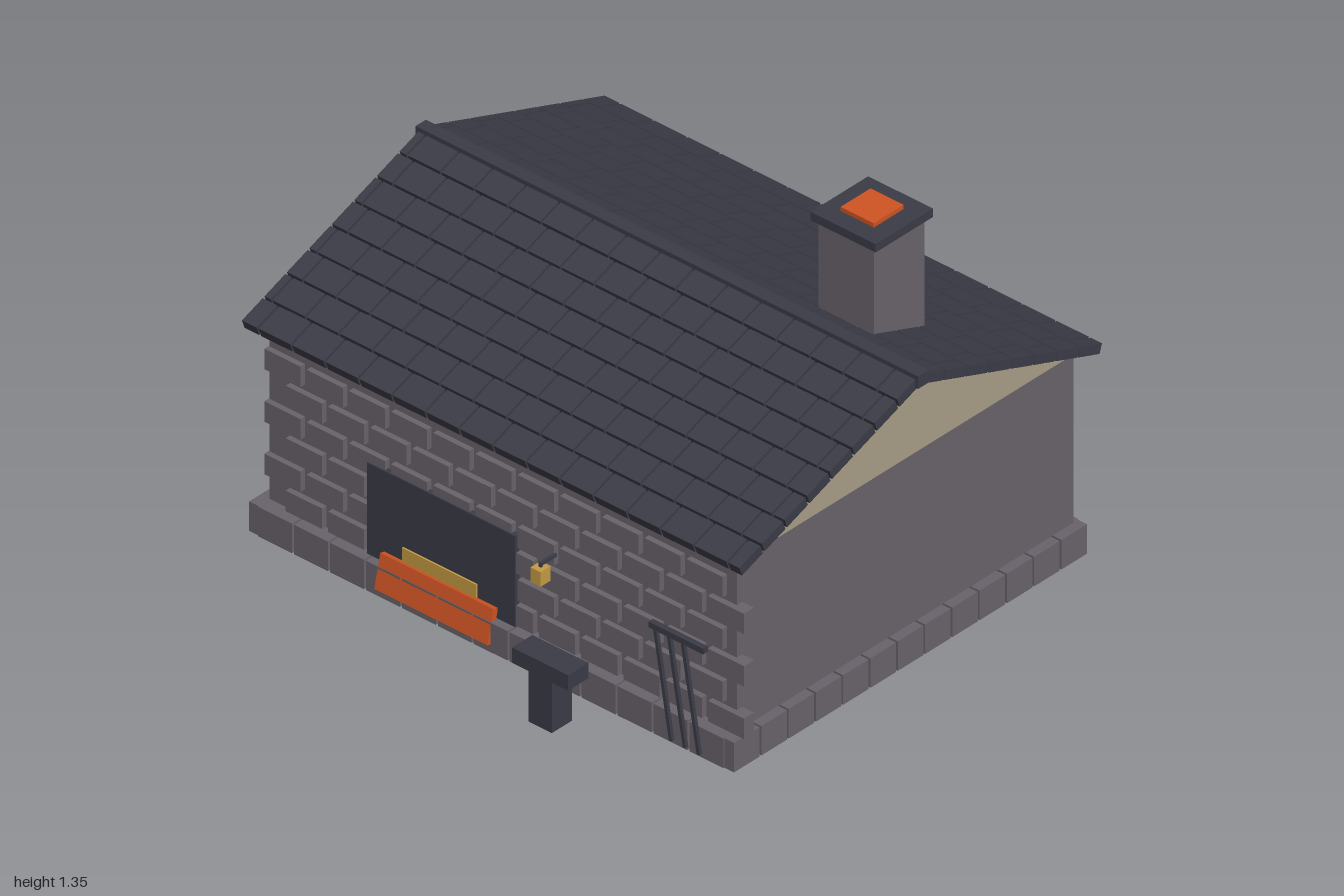
import * as THREE from 'three';

const mat = (name, color) => {
  const m = new THREE.MeshStandardMaterial({ color });
  m.name = name;
  return m;
};

export function createModel() {
  const stone = mat('stone', 0x69636b);
  const slate = mat('slate', 0x3b3b47);
  const plaster = mat('plaster', 0xa89d86);
  const ember = mat('ember', 0xcf5423);
  const brass = mat('brass', 0xc69c44);

  const model = new THREE.Group();
  model.name = 'smithy';
  const group = (name) => {
    const g = new THREE.Group();
    g.name = name;
    model.add(g);
    return g;
  };
  // Box from its limits on each axis
  const box = (parent, name, material, [x0, x1], [y0, y1], [z0, z1]) => {
    const mesh = new THREE.Mesh(new THREE.BoxGeometry(x1 - x0, y1 - y0, z1 - z0), material);
    mesh.position.set((x0 + x1) / 2, (y0 + y1) / 2, (z0 + z1) / 2);
    mesh.name = name;
    parent.add(mesh);
    return mesh;
  };

  // Main walls
  box(model, 'walls', stone, [-0.93, 0.93], [0.11, 0.71], [-0.84, 0.655]);

  // Ring of foundation stones, open underneath
  const foundation = group('foundation');
  const count = 13, gap = 0.004;
  for (let i = 0; i < count; i++) {
    const xa = -0.93 + (1.86 * i) / count, xb = xa + 1.86 / count;
    const za = -0.865 + (1.575 * i) / count, zb = za + 1.575 / count;
    for (const [z0, z1] of [[0.655, 0.71], [-0.865, -0.81]])
      box(foundation, 'foundationStone', stone, [xa + gap, xb - gap], [0.005, 0.11], [z0, z1]);
    for (const [x0, x1] of [[0.91, 0.965], [-0.965, -0.91]])
      box(foundation, 'foundationStone', stone, [x0, x1], [0.005, 0.11], [za + gap, zb - gap]);
  }

  // Raised bricks on the front wall, every other row shifted
  const bricks = group('frontBricks');
  for (let row = 0; row < 6; row++) {
    const y = 0.113 + row * 0.0935;
    for (let i = 0; i < 11; i++) {
      const x = (row % 2 ? -0.86 : -0.775) + i * 0.168;
      box(bricks, 'brick', stone, [x - 0.072, x + 0.072], [y, y + 0.073], [0.63, 0.675]);
    }
  }

  // Stepped gables
  const ridgeZ = -0.095;
  const gables = group('gables');
  for (const side of [-1, 1]) {
    for (let i = 0; i < 6; i++) {
      const half = 0.75 - i * 0.136;
      const y0 = i ? 0.688 + i * 0.05 : 0.71;
      const x = side * 0.91;
      box(gables, 'gableCourse', plaster, [x - 0.02, x + 0.02],
        [y0, 0.738 + i * 0.05 + (i === 5 ? 0.01 : 0)], [ridgeZ - half, ridgeZ + half]);
    }
  }

  // Shingled roof slopes with staggered seams
  const roof = group('roof');
  const slope = 0.3625, angle = Math.atan(slope);
  const rowLength = 0.1 / Math.cos(angle) - 0.008;
  for (const side of [-1, 1]) {
    for (let row = 0; row < 8; row++) {
      const run = 0.053 + row * 0.1;
      const shift = row % 2 ? 0.066 : 0.033;
      for (let i = -1; i < 16; i++) {
        const x0 = Math.max(-0.99, -0.99 + shift + i * 0.1335);
        const x1 = Math.min(0.99, -0.99 + shift + (i + 1) * 0.1335 - 0.008);
        if (x1 - x0 < 0.012) continue;
        const shingle = new THREE.Mesh(new THREE.BoxGeometry(x1 - x0, 0.034, rowLength), slate);
        shingle.name = 'shingle';
        shingle.position.set((x0 + x1) / 2, 1.02 - slope * run, ridgeZ + side * run);
        shingle.rotation.x = side * angle;
        roof.add(shingle);
      }
    }
  }
  box(roof, 'ridgeCap', slate, [-1, 1], [1.0, 1.045], [-0.118, -0.072]);

  // Chimney
  const chimney = group('chimney');
  box(chimney, 'chimneyStack', stone, [0.485, 0.705], [0.885, 1.31], [-0.43, -0.205]);
  box(chimney, 'chimneyCap', slate, [0.467, 0.725], [1.305, 1.335], [-0.445, -0.19]);
  box(chimney, 'chimneyGlow', ember, [0.53, 0.662], [1.335, 1.35], [-0.385, -0.252]);

  // Forge opening with leaning ember bed and flame
  const forge = group('forge');
  box(forge, 'forgeOpening', slate, [-0.52, 0.07], [0.11, 0.435], [0.66, 0.68]);
  const bed = box(forge, 'emberBed', ember, [-0.45, 0], [0.033, 0.152], [0.69, 0.712]);
  bed.rotation.x = -0.22;
  box(forge, 'flame', brass, [-0.375, -0.08], [0.13, 0.198], [0.66, 0.686]);

  // Hanging lantern
  const lantern = group('lantern');
  box(lantern, 'lanternArm', slate, [0.217, 0.228], [0.428, 0.438], [0.67, 0.74]);
  box(lantern, 'lanternHook', slate, [0.218, 0.227], [0.415, 0.43], [0.731, 0.74]);
  box(lantern, 'lanternBody', brass, [0.202, 0.242], [0.37, 0.422], [0.715, 0.758]);

  // Anvil
  const anvil = group('anvil');
  box(anvil, 'anvilTop', slate, [0.26, 0.483], [0.18, 0.235], [0.815, 0.905]);
  box(anvil, 'anvilStand', slate, [0.325, 0.418], [0, 0.18], [0.815, 0.905]);

  // Rack of leaning tools
  const rack = group('toolRack');
  box(rack, 'rackBar', slate, [0.638, 0.857], [0.385, 0.405], [0.702, 0.722]);
  for (let i = 0; i < 3; i++) {
    const tool = box(rack, 'toolHandle', slate, [-0.006, 0.006], [0, 0.38], [0.71, 0.722]);
    tool.position.x = 0.694 + i * 0.055;
    tool.position.y = 0.205;
    tool.rotation.z = 0.17;
  }

  return model;
}
